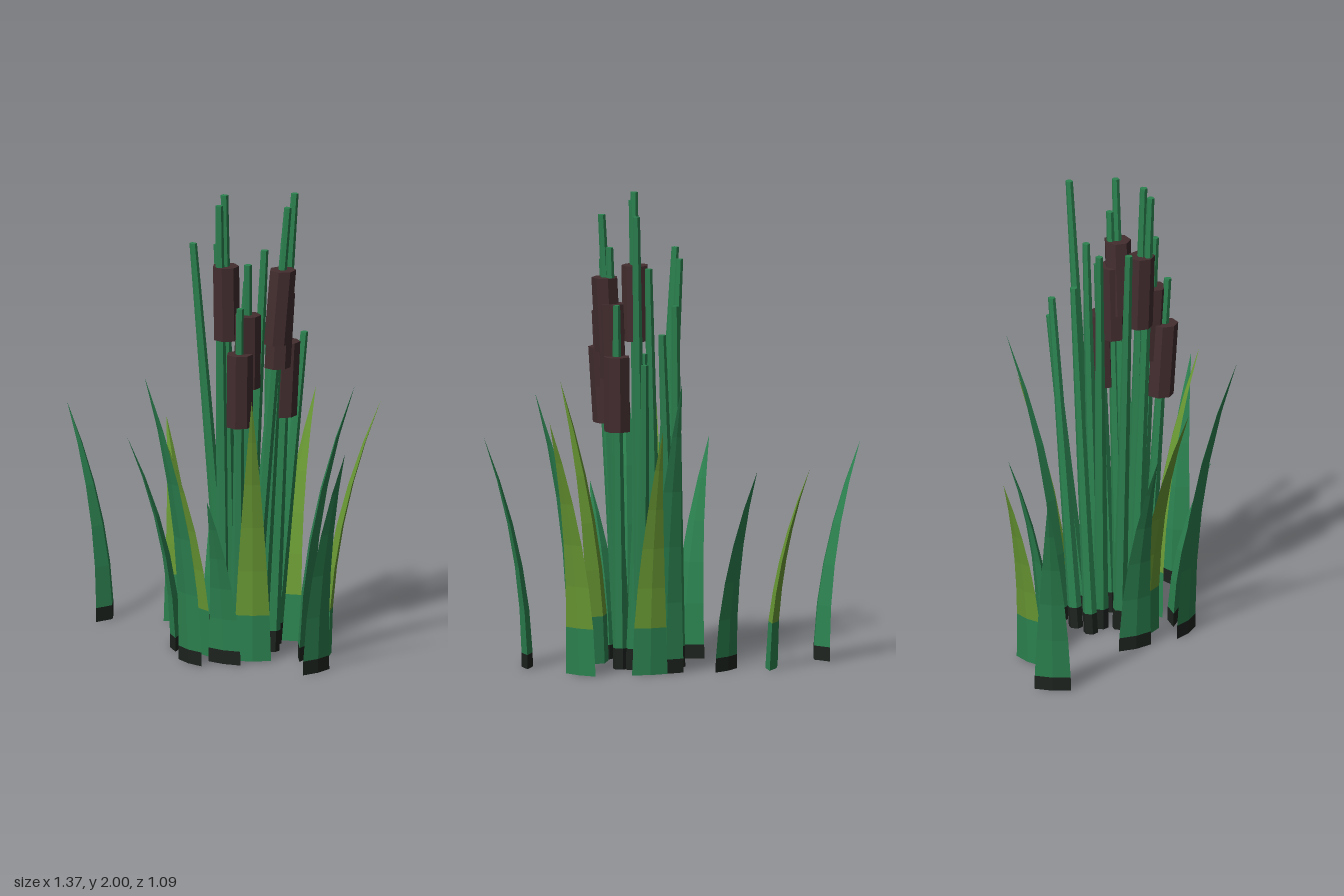
import * as THREE from 'three';

const paint = (name, color) => {
  const m = new THREE.MeshStandardMaterial({ color });
  m.name = name;
  return m;
};

// Flat-faced skin over rings of points; every ring has the same count.
function loft(rings, capBottom, capTop) {
  const pos = [];
  const tri = (...pts) => pts.forEach((p) => pos.push(p.x, p.y, p.z));
  const n = rings[0].length;
  for (let k = 0; k + 1 < rings.length; k++) {
    const lo = rings[k], hi = rings[k + 1];
    for (let i = 0; i < n; i++) {
      const j = (i + 1) % n;
      tri(lo[i], hi[i], lo[j]);
      tri(lo[j], hi[i], hi[j]);
    }
  }
  const last = rings[rings.length - 1];
  for (let i = 1; i + 1 < n; i++) {
    if (capBottom) tri(rings[0][0], rings[0][i], rings[0][i + 1]);
    if (capTop) tri(last[0], last[i + 1], last[i]);
  }
  const g = new THREE.BufferGeometry();
  g.setAttribute('position', new THREE.Float32BufferAttribute(pos, 3));
  g.computeVertexNormals();
  return g;
}

// Leaf cross-section at height y: a shallow kite that narrows and leans outward.
function leafRing([bx, bz, tx, tz, h], y) {
  const t = y / h;
  const dx = tx - bx, dz = tz - bz, len = Math.hypot(dx, dz);
  const rx = dx / len, rz = dz / len;
  const w = 1 - Math.pow(t, 1.4), lean = t * t;
  return [[0.012, 0], [0, 0.078], [-0.036, 0], [0, -0.078]].map(([r, s]) => new THREE.Vector3(
    bx + dx * lean + (rx * r - rz * s) * w,
    y,
    bz + dz * lean + (rz * r + rx * s) * w));
}

// Round cross-section on the straight line of a stem.
function stemRing([bx, bz, tx, tz, h], y, radius, sides) {
  const t = y / h;
  return Array.from({ length: sides }, (_, i) => {
    const a = (i / sides) * Math.PI * 2;
    return new THREE.Vector3(
      bx + (tx - bx) * t + Math.cos(a) * radius, y, bz + (tz - bz) * t + Math.sin(a) * radius);
  });
}

export function createModel() {
  const green = paint('leaf green', 0x2c8250);
  const lime = paint('yellow green', 0x6a9a34);
  const brown = paint('seed head brown', 0x432d2f);
  const dark = paint('dark root', 0x1d231e);

  const root = new THREE.Group();
  root.name = 'reedClump';
  const add = (group, name, geometry, material) => {
    const m = new THREE.Mesh(geometry, material);
    m.name = name;
    group.add(m);
  };
  const newGroup = (name) => {
    const g = new THREE.Group();
    g.name = name;
    root.add(g);
    return g;
  };

  // Leaves: base x, base z, tip x, tip z, height
  const greenLeaves = [
    [-0.52, -0.41, -0.685, -0.485, 0.92],
    [-0.025, -0.295, -0.035, -0.455, 0.86],
    [0.2, -0.15, 0.33, -0.345, 1.27],
    [0.37, 0.19, 0.58, 0.25, 1.2],
    [0.43, 0.43, 0.56, 0.545, 0.98],
    [-0.11, 0.31, -0.29, 0.475, 1.28],
    [-0.2, 0.055, -0.39, 0.095, 0.92],
    [0.035, 0.31, -0.03, 0.45, 0.74],
  ];
  const limeLeaves = [
    [-0.2, -0.41, -0.27, -0.548, 0.85],
    [0.27, -0.12, 0.38, -0.28, 1.06],
    [0.46, 0.1, 0.68, 0.09, 1.1],
    [0.15, 0.26, 0.16, 0.455, 1.18],
    [-0.07, 0.15, -0.26, 0.275, 1.06],
  ];
  const makeLeaf = (leaf, split, lowPaint, highPaint) => {
    const g = newGroup('leaf');
    const upper = [0, 0.2, 0.4, 0.6, 0.8, 1].map((f) => leafRing(leaf, split + (leaf[4] - split) * f));
    add(g, 'leafBase', loft([leafRing(leaf, 0), upper[0]], true, false), lowPaint);
    add(g, 'leafBlade', loft(upper, false, false), highPaint);
  };
  greenLeaves.forEach((l) => makeLeaf(l, 0.06, dark, green));
  limeLeaves.forEach((l) => makeLeaf(l, 0.2, green, lime));

  // Stems: base x, base z, top x, top z, height, bottom of seed head if any
  const stems = [
    [0.05, 0.11, 0.025, 0.165, 2.0, 1.37],
    [0.08, 0.19, 0.1, 0.295, 1.54, 1.02],
    [0.11, 0.16, 0.13, 0.25, 1.72, 1.18],
    [0.13, 0.13, 0.29, 0.125, 1.94, 1.35],
    [0.17, 0.11, 0.275, 0.095, 1.8, 1.24],
    [0.22, 0.08, 0.29, 0.045, 1.56, 1.02],
    [0.02, 0.12, 0.005, 0.19, 1.96],
    [0.03, 0.06, -0.115, 0.055, 1.76],
    [0.06, -0.01, -0.02, -0.045, 1.73],
    [0.02, -0.07, 0.1, -0.12, 1.55],
    [0.1, -0.11, 0.25, -0.17, 1.45],
    [0.1, -0.02, 0.18, -0.04, 1.71],
    [0.18, 0, 0.305, -0.075, 1.95],
    [0.2, 0.03, 0.2, -0.03, 1.35],
    [0.22, -0.04, 0.34, -0.15, 1.33],
  ];
  const rootTop = 0.09, headHeight = 0.32;
  for (const s of stems) {
    const [, , , , h, headY] = s;
    const g = newGroup(headY ? 'cattail' : 'stem');
    const ring = (y) => stemRing(s, y, 0.031 - 0.015 * (y / h), 6);
    add(g, 'stemRoot', loft([ring(0), ring(rootTop)], true, false), dark);
    add(g, 'stalk', loft([ring(rootTop), ring(h)], false, true), green);
    if (headY) {
      const ends = [headY, headY + headHeight].map((y) => stemRing(s, y, 0.057, 7));
      add(g, 'seedHead', loft(ends, true, true), brown);
    }
  }
  return root;
}
